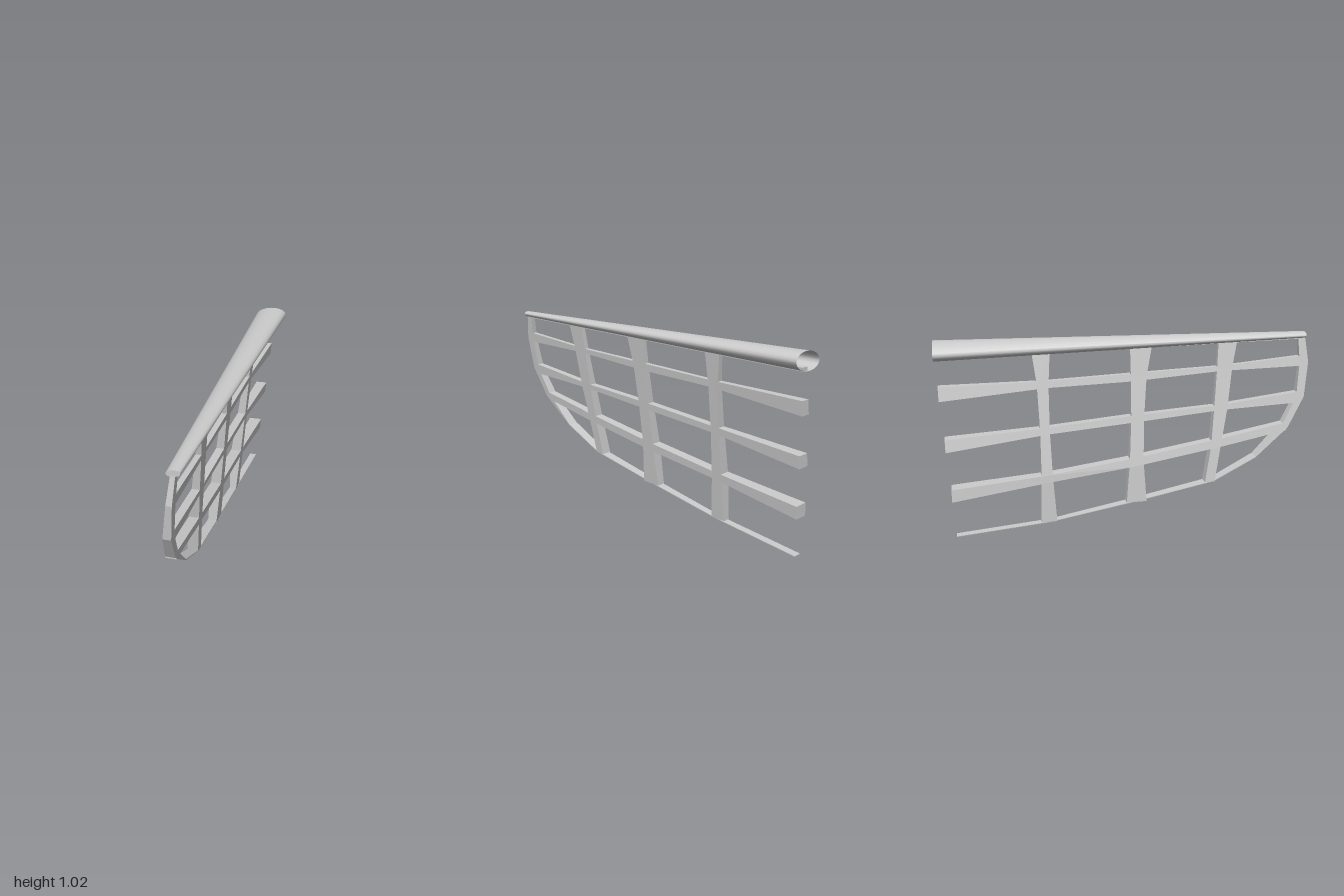
import * as THREE from 'three';

const grey = (extra = {}) => new THREE.MeshStandardMaterial({ color: 0xcccccc, ...extra });

// piecewise-linear lookup through [key, value] pairs with rising keys
function lerpTable(table, k) {
  for (let i = 1; i < table.length; i++) {
    const [k0, v0] = table[i - 1], [k1, v1] = table[i];
    if (k <= k1) return v0 + (v1 - v0) * Math.max(0, (k - k0) / (k1 - k0));
  }
  return table[table.length - 1][1];
}

// the leaning sheet the lattice follows: its -x and +x faces by height
const faceRight = y => lerpTable([[0, -0.095], [0.05, -0.106], [0.2, -0.107], [0.31, -0.1], [0.95, 0.0]], y);
const faceLeft = (y, z) => lerpTable([[0, -0.055], [0.04, -0.066], [1, 0.026]], y)
  + (y > 0.1 ? lerpTable([[-1, 0.018], [-0.45, 0], [1, 0]], z) : 0);

// four-cornered bar lofted through sections [za, ya, zb, yb]
function bar(name, sections) {
  const rings = sections.map(([za, ya, zb, yb]) => [
    [faceRight(ya), ya, za], [faceLeft(ya, za), ya, za],
    [faceLeft(yb, zb), yb, zb], [faceRight(yb), yb, zb]]);
  const pos = [];
  const quad = (a, b, c, d) => pos.push(...a, ...b, ...c, ...a, ...c, ...d);
  for (let i = 0; i < rings.length - 1; i++) {
    for (let j = 0; j < 4; j++) {
      const k = (j + 1) % 4;
      quad(rings[i][j], rings[i][k], rings[i + 1][k], rings[i + 1][j]);
    }
  }
  const first = rings[0], last = rings[rings.length - 1];
  quad(first[3], first[2], first[1], first[0]);
  quad(...last);
  const geo = new THREE.BufferGeometry();
  geo.setAttribute('position', new THREE.Float32BufferAttribute(pos, 3));
  geo.computeVertexNormals();
  const mesh = new THREE.Mesh(geo, grey({ flatShading: true }));
  mesh.name = name;
  return mesh;
}

export function createModel() {
  const model = new THREE.Group();
  model.name = 'latticeFrame';

  // tapered oval tube along the top, open at the back
  const tube = new THREE.Group();
  tube.name = 'topTube';
  const wall = new THREE.CylinderGeometry(0.032, 0.092, 1.98, 20, 1, true);
  wall.rotateX(Math.PI / 2);
  const tubeWall = new THREE.Mesh(wall, grey({ side: THREE.DoubleSide }));
  tubeWall.name = 'tubeWall';
  const cap = new THREE.Mesh(new THREE.CircleGeometry(0.032, 20), grey());
  cap.name = 'tubeFrontCap';
  cap.position.z = 0.99;
  tube.add(tubeWall, cap);
  tube.scale.y = 0.5;
  tube.rotation.z = 0.12;
  tube.position.set(0.013, 0.978, -0.01);
  model.add(tube);

  // slim rail tucked under the tube
  model.add(bar('topRail', [[0.97, 0.975, 0.97, 0.958], [-0.99, 0.95, -0.99, 0.932]]));

  // lengthwise stringers: [z, top, bottom] from front to back
  const stringers = {
    upperStringer: [[0.96, 0.865, 0.81], [0.5, 0.83, 0.805], [0, 0.815, 0.775], [-0.45, 0.8, 0.765], [-0.99, 0.797, 0.725]],
    middleStringer: [[0.95, 0.67, 0.61], [0.5, 0.622, 0.595], [0, 0.594, 0.557], [-0.45, 0.56, 0.525], [-0.975, 0.53, 0.465]],
    lowerStringer: [[0.87, 0.503, 0.46], [0.5, 0.44, 0.395], [0, 0.365, 0.32], [-0.45, 0.31, 0.27], [-0.96, 0.27, 0.203]],
  };
  for (const [name, rows] of Object.entries(stringers)) {
    model.add(bar(name, rows.map(([z, top, bottom]) => [z, top, z, bottom])));
  }

  // upright ribs: [y, back z, front z] from top to bottom
  const ribs = {
    frontRib: [[0.965, 0.485, 0.59], [0.82, 0.475, 0.56], [0.6, 0.455, 0.53], [0.4, 0.435, 0.49], [0.2, 0.4, 0.455]],
    middleRib: [[0.965, 0, 0.12], [0.8, 0.0, 0.085], [0.58, -0.005, 0.065], [0.35, -0.02, 0.055], [0.118, -0.04, 0.07]],
    backRib: [[0.955, -0.515, -0.42], [0.78, -0.495, -0.435], [0.54, -0.49, -0.44], [0.29, -0.495, -0.435], [0.045, -0.505, -0.42]],
  };
  for (const [name, rows] of Object.entries(ribs)) {
    model.add(bar(name, rows.map(([y, back, front]) => [back, y, front, y])));
  }

  // rim: a bar round the front edge that thins to a flat strip underneath
  model.add(bar('edgeRim', [
    [0.94, 0.965, 0.98, 0.965], [0.95, 0.83, 1.0, 0.83], [0.93, 0.64, 0.975, 0.64],
    [0.845, 0.485, 0.88, 0.475], [0.69, 0.327, 0.69, 0.32], [0.45, 0.206, 0.45, 0.202],
    [0, 0.122, 0, 0.118], [-0.46, 0.045, -0.46, 0.041], [-0.95, 0.004, -0.95, 0]]));

  return model;
}
